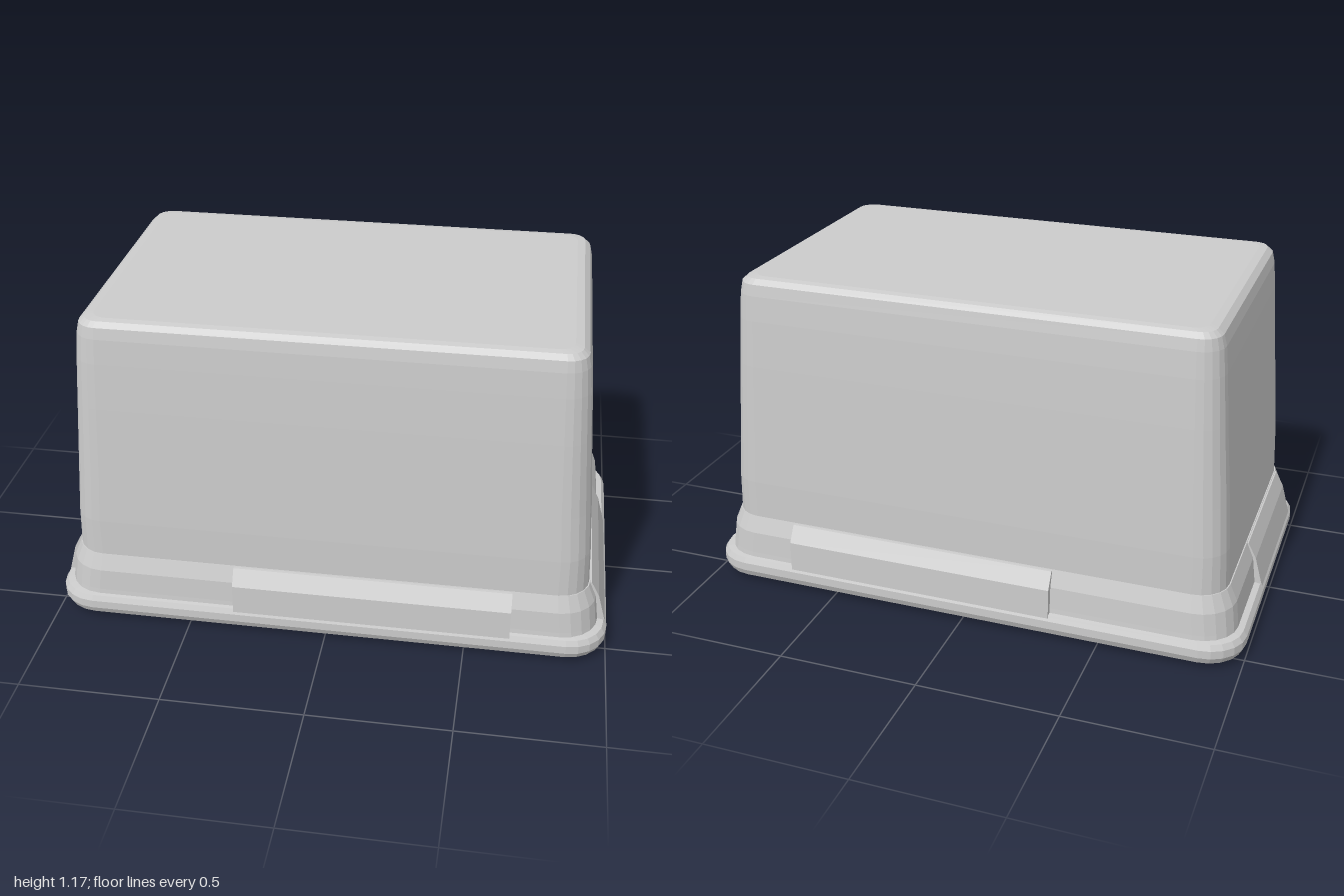
import * as THREE from 'three';

const grey = new THREE.MeshStandardMaterial({ color: 0xcccccc, flatShading: true });
const CORNER = 5; // segments per rounded corner

// Rounded-rectangle ring at height y, with half sizes hx, hz and corner radius r
function ring([y, hx, hz, r]) {
  const points = [];
  for (let q = 0; q < 4; q++) {
    const sx = q === 0 || q === 3 ? 1 : -1;
    const sz = q < 2 ? 1 : -1;
    for (let i = 0; i <= CORNER; i++) {
      const a = (q + i / CORNER) * Math.PI / 2;
      points.push([sx * (hx - r) + r * Math.cos(a), y, sz * (hz - r) + r * Math.sin(a)]);
    }
  }
  return points;
}

// Skin joining consecutive rings, closed at both ends
function loft(sections) {
  const rings = sections.map(ring);
  const n = rings[0].length;
  const index = [];
  for (let i = 0; i < rings.length - 1; i++) {
    for (let j = 0; j < n; j++) {
      const k = (j + 1) % n;
      const a = i * n + j, b = i * n + k, c = a + n, d = b + n;
      index.push(a, c, b, b, c, d);
    }
  }
  const last = (rings.length - 1) * n;
  for (let j = 1; j < n - 1; j++) {
    index.push(0, j, j + 1, last, last + j + 1, last + j);
  }
  const g = new THREE.BufferGeometry();
  g.setAttribute('position', new THREE.Float32BufferAttribute(rings.flat(2), 3));
  g.setIndex(index);
  g.computeVertexNormals();
  return g;
}

function addMesh(group, name, geometry) {
  const mesh = new THREE.Mesh(geometry, grey);
  mesh.name = name;
  group.add(mesh);
  return mesh;
}

// Raised skirt panel: [outward, y] profile extruded sideways, turned to face its side
function addPanel(group, name, profile, from, to, turn) {
  const shape = new THREE.Shape(profile.map(([u, v]) => new THREE.Vector2(u, v)));
  const g = new THREE.ExtrudeGeometry(shape, { depth: to - from, bevelEnabled: false });
  g.translate(0, 0, from);
  g.rotateY(turn);
  addMesh(group, name, g);
}

export function createModel() {
  const model = new THREE.Group();
  model.name = 'tub';

  // Tapered body with soft top edge
  addMesh(model, 'body', loft([
    [0.20, 0.925, 0.558, 0.11],
    [0.40, 0.915, 0.556, 0.10],
    [0.57, 0.903, 0.550, 0.10],
    [0.85, 0.880, 0.540, 0.09],
    [1.02, 0.867, 0.532, 0.085],
    [1.11, 0.858, 0.525, 0.08],
    [1.15, 0.848, 0.518, 0.07],
    [1.168, 0.828, 0.503, 0.055],
    [1.172, 0.80, 0.48, 0.05],
  ]));

  // Stepped skirt around the foot of the body
  addMesh(model, 'skirt', loft([
    [0.09, 0.965, 0.588, 0.13],
    [0.12, 0.962, 0.585, 0.13],
    [0.20, 0.952, 0.580, 0.13],
    [0.26, 0.926, 0.560, 0.11],
  ]));

  // Rounded rim lip; its underside holds a shallow groove around a flat pad
  addMesh(model, 'rim', loft([
    [0.002, 0.61, 0.27, 0.02],
    [0.002, 0.62, 0.28, 0.02],
    [0.03, 0.63, 0.29, 0.02],
    [0.03, 0.86, 0.46, 0.05],
    [0.01, 0.88, 0.48, 0.06],
    [0.01, 0.95, 0.565, 0.10],
    [0.025, 0.985, 0.597, 0.13],
    [0.05, 0.998, 0.609, 0.14],
    [0.08, 0.998, 0.609, 0.14],
    [0.10, 0.985, 0.60, 0.13],
    [0.106, 0.95, 0.57, 0.12],
  ]));

  // Raised skirt panels on all four sides
  const longSide = [[0.5, 0.09], [0.606, 0.09], [0.604, 0.2], [0.57, 0.258], [0.5, 0.262]];
  const shortSide = [[0.85, 0.09], [0.992, 0.09], [0.962, 0.2], [0.932, 0.258], [0.85, 0.262]];
  addPanel(model, 'frontSkirtPanel', longSide, -0.33, 0.66, -Math.PI / 2);
  addPanel(model, 'backSkirtPanel', longSide, -0.33, 0.66, Math.PI / 2);
  addPanel(model, 'leftSkirtPanel', shortSide, -0.18, 0.46, 0);
  addPanel(model, 'rightSkirtPanel', shortSide, -0.45, 0.15, Math.PI);

  // Panels on the long sides share the same span in x
  model.getObjectByName('frontSkirtPanel').geometry.translate(0.33, 0, 0);
  return model;
}
